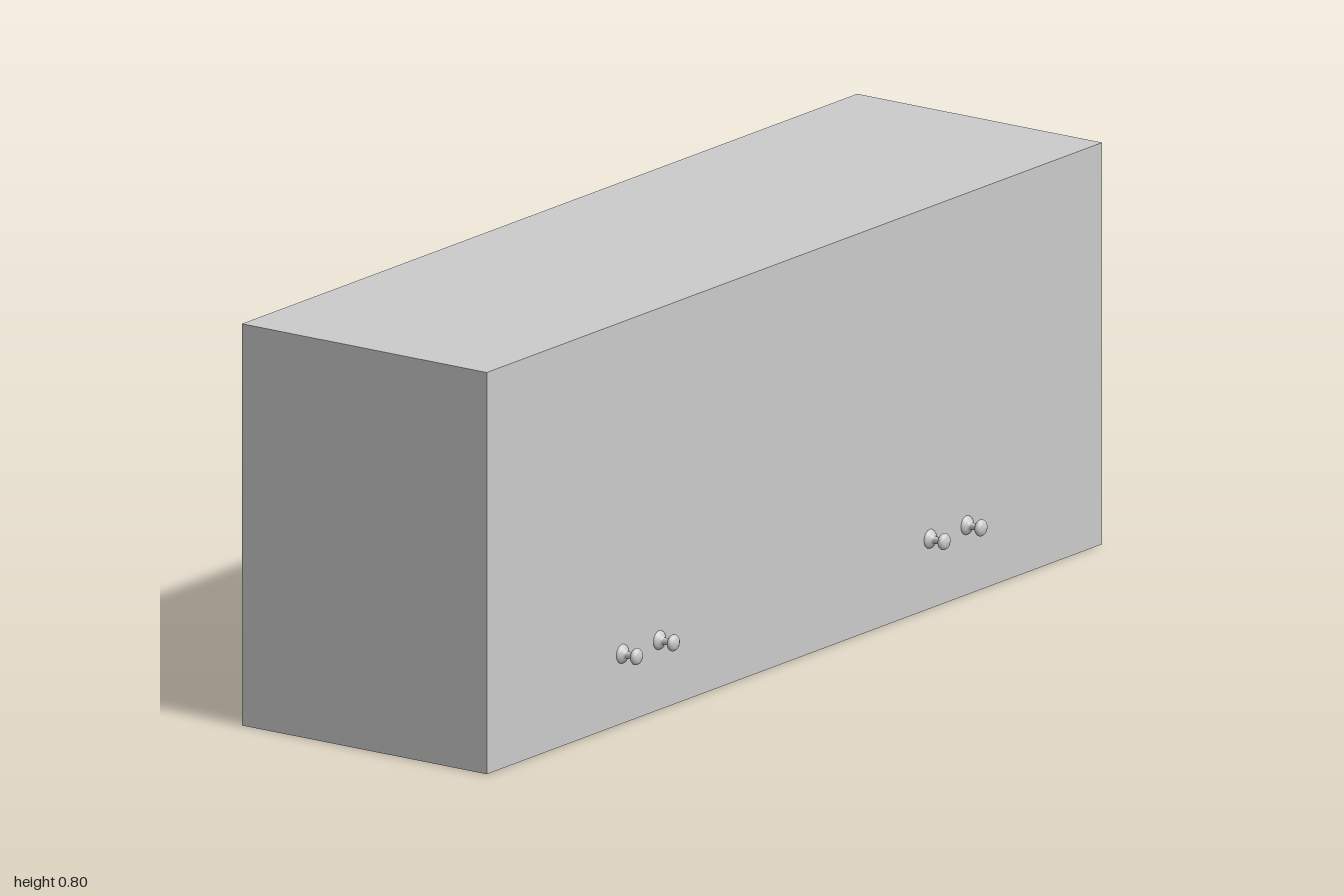
import * as THREE from 'three';

export function createModel() {
  const model = new THREE.Group();
  const material = new THREE.MeshStandardMaterial({ color: 0xcccccc });

  // Cabinet body, a plain block
  const left = 0.269, right = -0.312, height = 0.8, depth = 2;
  const body = new THREE.Mesh(new THREE.BoxGeometry(left - right, height, depth), material);
  body.name = 'cabinetBody';
  body.position.set((left + right) / 2, height / 2, 0);
  model.add(body);

  // Knob profile: flared foot, thin stem, rounded head
  const profile = [
    [0.019, 0], [0.0185, 0.002], [0.016, 0.005], [0.011, 0.008], [0.0075, 0.010],
    [0.007, 0.013], [0.007, 0.024], [0.010, 0.026], [0.0145, 0.029], [0.0165, 0.032],
    [0.0165, 0.035], [0.014, 0.039], [0.009, 0.0415], [0, 0.043],
  ].map(([r, y]) => new THREE.Vector2(r, y));
  const knobGeometry = new THREE.LatheGeometry(profile, 32);
  knobGeometry.rotateZ(-Math.PI / 2);

  // Two pairs of knobs along the +x side
  for (const z of [-0.56, -0.44, 0.44, 0.56]) {
    const knob = new THREE.Mesh(knobGeometry, material);
    knob.name = 'knob';
    knob.position.set(left, 0.139, z);
    model.add(knob);
  }
  return model;
}
